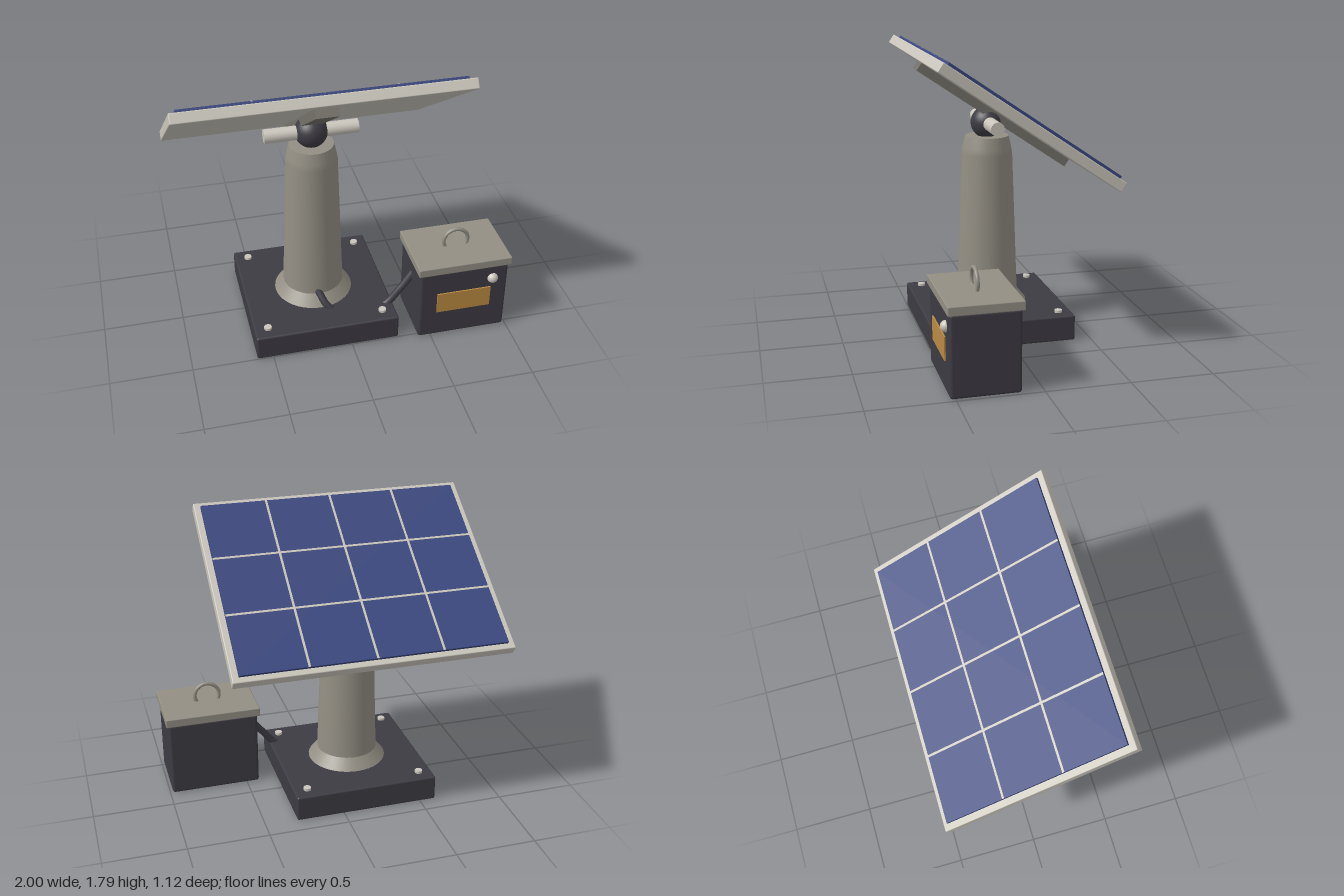
import * as THREE from 'three';
import { RoundedBoxGeometry } from 'three/addons/geometries/RoundedBoxGeometry.js';

const material = (name, color) => {
  const m = new THREE.MeshStandardMaterial({ color });
  m.name = name;
  return m;
};

export function createModel() {
  const charcoal = material('charcoal', 0x3d3b43);
  const stone = material('stone grey', 0x938f84);
  const darkStone = material('dark stone grey', 0x75726a);
  const pale = material('pale grey', 0xcac6bc);
  const navy = material('cell blue', 0x3a477e);
  const amber = material('amber', 0xba8a42);

  const model = new THREE.Group();
  model.name = 'solarPanelStation';

  const add = (name, geometry, mat, x, y, z, parent = model) => {
    const mesh = new THREE.Mesh(geometry, mat);
    mesh.name = name;
    mesh.position.set(x, y, z);
    parent.add(mesh);
    return mesh;
  };
  const box = (w, h, d) => new THREE.BoxGeometry(w, h, d);
  const rounded = (w, h, d, r) => new RoundedBoxGeometry(w, h, d, 3, r);

  const MX = -0.15, MZ = 0.05; // mast axis

  // Base slab with four bolts
  add('base', rounded(0.9, 0.16, 0.9, 0.012), charcoal, MX, 0.08, MZ);
  for (const sx of [-1, 1]) for (const sz of [-1, 1]) {
    add('bolt', new THREE.CylinderGeometry(0.024, 0.024, 0.02, 12), pale, MX + sx * 0.365, 0.166, MZ + sz * 0.365);
  }

  // Mast: separate lathe bands keep the rims crisp
  const rings = [[0.25, 0.155], [0.19, 0.23], [0.159, 1.12], [0.152, 1.16], [0.136, 1.23], [0, 1.23]];
  const bands = [[0, 1], [1, 2, 3, 4], [4, 5]];
  const mast = new THREE.Group();
  mast.name = 'mast';
  mast.position.set(MX, 0, MZ);
  model.add(mast);
  for (const band of bands) {
    const points = band.map(i => new THREE.Vector2(...rings[i]));
    add('mastSection', new THREE.LatheGeometry(points, 40), stone, 0, 0, 0, mast);
  }

  // Tilt joint
  add('pivotBall', new THREE.SphereGeometry(0.1, 32, 20), charcoal, MX, 1.312, MZ);
  add('pivotAxle', new THREE.CylinderGeometry(0.043, 0.043, 0.57, 24), pale, MX, 1.312, MZ).rotation.z = Math.PI / 2;

  // Tilted panel
  const panel = new THREE.Group();
  panel.name = 'panel';
  panel.position.set(MX, 1.406, -0.019);
  panel.rotation.x = -0.597;
  model.add(panel);
  add('panelFrame', rounded(1.7, 0.063, 1.272, 0.006), pale, 0, 0, 0, panel);
  add('backSpar', box(0.135, 0.056, 1.13), darkStone, 0, -0.058, 0, panel);

  // Four by three cells, with thin dividers between them
  const W = 1.62, D = 1.2, cols = 4, rows = 3, gap = 0.014;
  add('cellSheet', box(W, 0.018, D), navy, 0, 0.0395, 0, panel);
  for (let i = 1; i < cols; i++) {
    add('cellDivider', box(gap, 0.004, D), pale, -W / 2 + i * W / cols, 0.048, 0, panel);
  }
  for (let j = 1; j < rows; j++) {
    add('cellDivider', box(W, 0.004, gap), pale, 0, 0.048, -D / 2 + j * D / rows, panel);
  }

  // Battery box
  const BX = 0.702, BZ = 0.329;
  add('batteryBox', rounded(0.565, 0.485, 0.405, 0.018), charcoal, BX, 0.2425, BZ);
  add('batteryLid', rounded(0.595, 0.055, 0.43, 0.006), stone, BX, 0.508, BZ);
  add('lidHandle', new THREE.TorusGeometry(0.078, 0.012, 12, 40), stone, BX, 0.57, BZ);
  add('labelPlate', box(0.345, 0.14, 0.009), amber, 0.703, 0.255, 0.5355);
  add('knob', new THREE.SphereGeometry(0.034, 24, 16), pale, 0.885, 0.39, 0.53);

  // Cable from the mast through the base to the battery
  const path = new THREE.CatmullRomCurve3([
    [-0.16, 0.25, 0.22], [-0.1, 0.155, 0.3], [0.06, 0.08, 0.33], [0.25, 0.14, 0.335], [0.35, 0.25, 0.335], [0.44, 0.37, 0.33],
  ].map(p => new THREE.Vector3(...p)));
  add('cable', new THREE.TubeGeometry(path, 48, 0.023, 12), charcoal, 0, 0, 0);

  return model;
}
